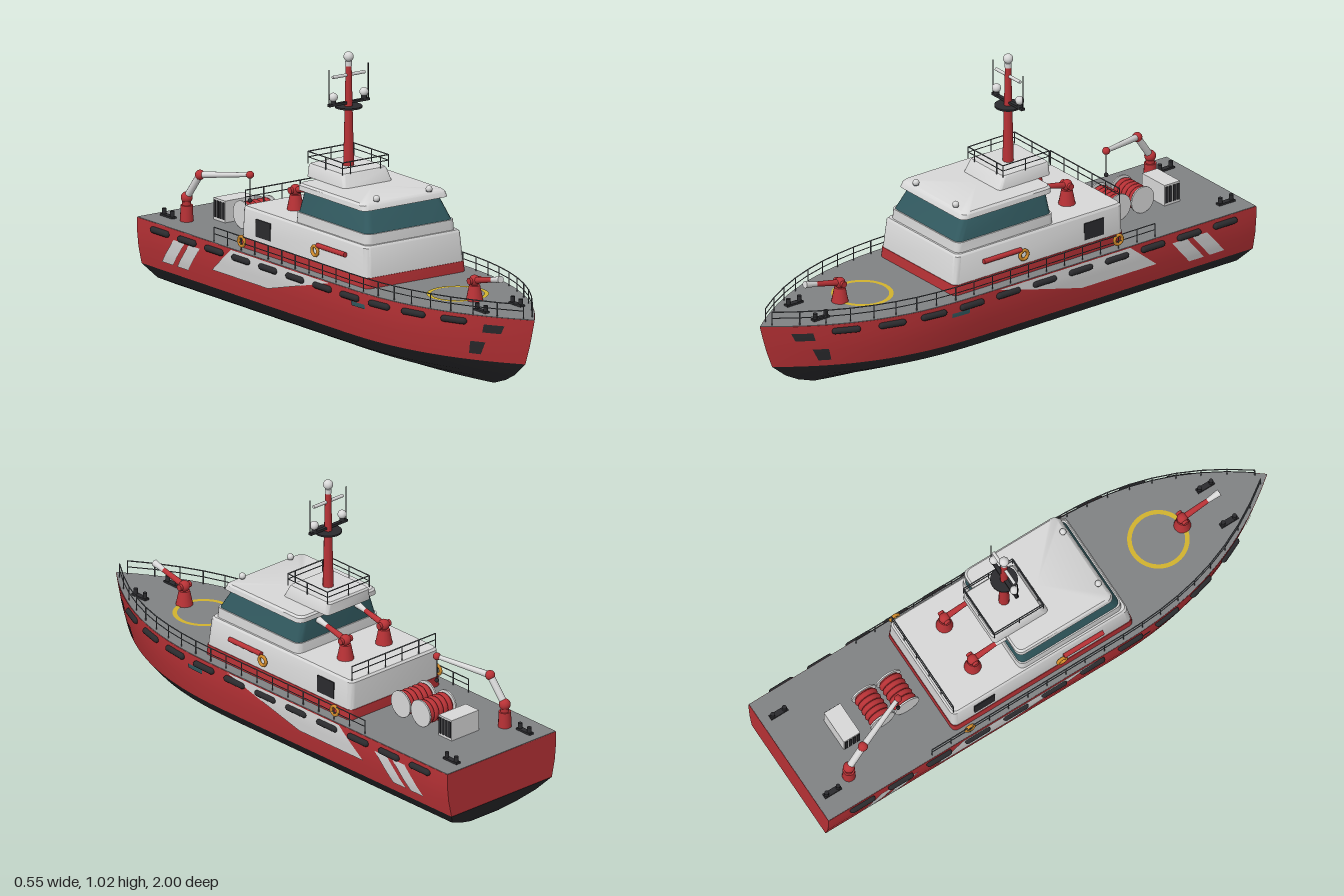
import * as THREE from 'three';
import { toCreasedNormals } from 'three/addons/utils/BufferGeometryUtils.js';

const V = (x, y, z) => new THREE.Vector3(x, y, z);
const mat = (name, color, side = THREE.FrontSide) => {
  const m = new THREE.MeshStandardMaterial({ color, side });
  m.name = name;
  return m;
};

// Hull levels: [y, half beam, stern z, stem z]
const LEVELS = [
  [0, 0.065, -0.91, 0.76], [0.025, 0.135, -0.935, 0.83], [0.055, 0.2, -0.96, 0.885], [0.105, 0.24, -1, 0.945],
  [0.17, 0.254, -1, 0.97], [0.23, 0.26, -1, 0.988], [0.275, 0.26, -1, 1],
];
const taper = (s) => 1 - Math.pow(Math.max(0, (s - 0.6) / 0.4), 2.5);
function levelAt(y) {
  let k = 0;
  while (k < LEVELS.length - 2 && y > LEVELS[k + 1][0]) k++;
  const a = LEVELS[k], b = LEVELS[k + 1], t = (y - a[0]) / (b[0] - a[0]);
  return a.map((v, i) => v + (b[i] - v) * t);
}
function hullX(z, y) {
  const [, w, z0, z1] = levelAt(y);
  return w * taper(Math.min(1, (z - z0) / (z1 - z0)));
}
function hullRing([y, w, z0, z1]) {
  const ring = [], N = 36;
  for (let i = -N; i <= N; i++) {
    const s = 1 - Math.pow(Math.abs(i) / N, 1.4);
    ring.push([Math.sign(i) * w * taper(s), y, z0 + (z1 - z0) * s]);
  }
  return ring;
}

// Closed solid through rings that run counter-clockwise seen from above
function loft(rings, crease = 0.6) {
  const n = rings[0].length, pos = rings.flat(2), idx = [];
  for (let j = 0; j < rings.length - 1; j++)
    for (let i = 0; i < n; i++) {
      const a = j * n + i, b = j * n + (i + 1) % n;
      idx.push(a, b, b + n, a, b + n, a + n);
    }
  [0, rings.length - 1].forEach((j) => {
    const c = pos.length / 3;
    const zs = rings[j].map((p) => p[2]);
    pos.push(0, rings[j][0][1], (Math.min(...zs) + Math.max(...zs)) / 2);
    for (let i = 0; i < n; i++) {
      const a = j * n + i, b = j * n + (i + 1) % n;
      idx.push(...(j ? [c, a, b] : [c, b, a]));
    }
  });
  const g = new THREE.BufferGeometry();
  g.setAttribute('position', new THREE.Float32BufferAttribute(pos, 3));
  g.setIndex(idx);
  return toCreasedNormals(g, crease);
}

// Rounded rectangle ring for cabin tiers
function tierRing([y, hx, zFront, zBack], r) {
  const ring = [];
  for (let q = 0; q < 4; q++)
    for (let k = 0; k <= 4; k++) {
      const a = (q + k / 4) * Math.PI / 2;
      const cx = (q === 0 || q === 3 ? 1 : -1) * (hx - r), cz = q < 2 ? zBack + r : zFront - r;
      ring.push([cx + r * Math.cos(a), y, cz - r * Math.sin(a)]);
    }
  return ring;
}

export function createModel() {
  const root = new THREE.Group();
  root.name = 'fireBoat';
  const red = mat('red paint', 0xb93236), dark = mat('black rubber', 0x2b2b2e), white = mat('white paint', 0xd8d8d8);
  const grey = mat('deck grey', 0x808284), glass = mat('teal glass', 0x31595f), yellow = mat('yellow marking', 0xd2b32e);
  const orange = mat('life ring orange', 0xd08a2a), steel = mat('rail steel', 0x5c6064);

  const add = (name, geo, m, p = [0, 0, 0], parent = root) => {
    const mesh = new THREE.Mesh(geo, m);
    mesh.name = name;
    mesh.position.set(...p);
    parent.add(mesh);
    return mesh;
  };
  const along = (mesh, a, b) => {
    mesh.position.copy(a).add(b).multiplyScalar(0.5);
    mesh.quaternion.setFromUnitVectors(V(0, 1, 0), b.clone().sub(a).normalize());
    return mesh;
  };
  const rod = (name, a, b, r0, m, r1 = r0, seg = 12) =>
    along(add(name, new THREE.CylinderGeometry(r1, r0, a.distanceTo(b), seg), m), a, b);
  const box = (name, w, h, d, m, p) => add(name, new THREE.BoxGeometry(w, h, d), m, p);
  const ball = (name, r, m, p) => add(name, new THREE.SphereGeometry(r, 20, 14), m, p);
  const tier = (name, m, r, ...sections) => add(name, loft(sections.map((s) => tierRing(s, r))), m);

  // Hull and deck
  add('hullBottom', loft(LEVELS.slice(0, 4).map(hullRing)), dark);
  add('hullSides', loft(LEVELS.slice(3).map(hullRing)), red);
  add('deck', loft([[0.275, 0.259, -0.999, 0.998], [0.277, 0.259, -0.999, 0.998]].map(hullRing)), grey);

  // Painted plates that follow the hull; corners [z, y]: low fore, low aft, high aft, high fore
  function patch(name, m, c, nu = 12, nv = 6) {
    for (const side of [1, -1]) {
      const pos = [], idx = [];
      for (let j = 0; j <= nv; j++)
        for (let i = 0; i <= nu; i++) {
          const u = i / nu, v = j / nv;
          const at = (k) => (c[0][k] * (1 - u) + c[1][k] * u) * (1 - v) + (c[3][k] * (1 - u) + c[2][k] * u) * v;
          pos.push(side * (hullX(at(0), at(1)) + 0.003), at(1), at(0));
          if (i < nu && j < nv) {
            const a = j * (nu + 1) + i, b = a + 1, d = a + nu + 1, e = d + 1;
            idx.push(...(side > 0 ? [a, b, e, a, e, d] : [a, e, b, a, d, e]));
          }
        }
      const g = new THREE.BufferGeometry();
      g.setAttribute('position', new THREE.Float32BufferAttribute(pos, 3));
      g.setIndex(idx);
      g.computeVertexNormals();
      add(name, g, m);
    }
  }
  patch('hullSweep', white, [[-0.23, 0.175], [-0.56, 0.175], [-0.44, 0.273], [0.14, 0.273]]);
  patch('hullStripe', white, [[-0.71, 0.14], [-0.775, 0.14], [-0.69, 0.238], [-0.625, 0.238]]);
  patch('hullStripe', white, [[-0.80, 0.14], [-0.865, 0.14], [-0.78, 0.238], [-0.715, 0.238]]);
  patch('bowPlate', dark, [[0.895, 0.215], [0.835, 0.215], [0.845, 0.246], [0.91, 0.246]]);
  patch('bowPlate', dark, [[0.815, 0.13], [0.775, 0.13], [0.79, 0.178], [0.84, 0.178]]);
  patch('sidePlate', glass, [[0.345, 0.22], [0.27, 0.22], [0.27, 0.236], [0.345, 0.236]]);

  // Fenders
  for (const side of [1, -1])
    for (let i = 0; i < 11; i++) {
      const z = 0.74 - i * 0.16, p = (q) => V(side * (hullX(q, 0.25) + 0.003), 0.25, q);
      along(add('fender', new THREE.CapsuleGeometry(0.012, 0.08, 4, 10), dark), p(z - 0.05), p(z + 0.05));
    }

  // Deckhouse, wheelhouse and roof
  tier('deckhouseBase', red, 0.02, [0.276, 0.218, 0.305, -0.45], [0.315, 0.216, 0.302, -0.45]);
  tier('deckhouse', white, 0.02, [0.315, 0.214, 0.3, -0.448], [0.418, 0.209, 0.288, -0.448], [0.426, 0.203, 0.282, -0.442]);
  tier('wheelhouse', white, 0.025, [0.425, 0.196, 0.275, -0.158], [0.463, 0.194, 0.272, -0.156]);
  tier('windowBand', glass, 0.025, [0.463, 0.189, 0.267, -0.152], [0.541, 0.166, 0.225, -0.148]);
  tier('roof', white, 0.025, [0.541, 0.188, 0.245, -0.158], [0.558, 0.185, 0.238, -0.158], [0.565, 0.178, 0.228, -0.152]);
  tier('mastHouse', white, 0.015, [0.565, 0.106, 0.02, -0.21], [0.605, 0.1, 0, -0.21], [0.612, 0.095, -0.005, -0.205]);

  // Railings
  function railing(name, pts, h, closed = false) {
    pts.forEach((p, i) => {
      const top = p.clone().setY(p.y + h), mid = p.clone().setY(p.y + h * 0.55);
      rod(name + 'Post', p, top, 0.002, steel, 0.002, 6);
      const q = pts[i + 1] || (closed ? pts[0] : null);
      if (!q) return;
      rod(name, top, q.clone().setY(q.y + h), 0.0022, steel, 0.0022, 6);
      rod(name, mid, q.clone().setY(q.y + h * 0.55), 0.0018, steel, 0.0018, 6);
    });
  }
  for (const side of [1, -1]) {
    const pts = [];
    for (let i = 0; i <= 19; i++) {
      const z = 0.96 - i * 0.08;
      pts.push(V(side * Math.max(0.008, hullX(z, 0.275) - 0.012), 0.276, z));
    }
    railing('deckRail', pts, 0.052);
  }
  railing('mastHouseRail', [[-0.1, 0], [-0.065, 0], [0.065, 0], [0.1, 0], [0.1, -0.1], [0.1, -0.205],
    [0, -0.205], [-0.1, -0.205], [-0.1, -0.1]].map(([x, z]) => V(x, 0.61, z)), 0.045, true);
  railing('aftHouseRail', [-0.2, -0.12, -0.04, 0.04, 0.12, 0.2].map((x) => V(x, 0.425, -0.44)), 0.055);

  // Mast with aerials
  const mz = -0.1;
  rod('mast', V(0, 0.61, mz), V(0, 0.975, mz), 0.02, red, 0.011, 10);
  rod('mastCollar', V(0, 0.972, mz), V(0, 0.99, mz), 0.012, white);
  ball('mastBall', 0.018, white, [0, 1.006, mz]);
  rod('radarBar', V(-0.07, 0.94, mz), V(0.07, 0.94, mz), 0.006, white);
  rod('mastPlatform', V(0, 0.822, mz), V(0, 0.828, mz), 0.049, dark, 0.049, 24);
  box('mastYard', 0.176, 0.009, 0.014, dark, [0, 0.84, mz]);
  for (const s of [1, -1]) {
    rod('domeStub', V(s * 0.067, 0.842, mz), V(s * 0.067, 0.858, mz), 0.01, dark);
    ball('mastDome', 0.016, white, [s * 0.067, 0.868, mz]);
    rod('whipAerial', V(s * 0.086, 0.836, mz), V(s * 0.086, 0.97, mz), 0.002, dark, 0.002, 6);
    rod('roofLampBase', V(s * 0.115, 0.56, 0.22), V(s * 0.115, 0.574, 0.22), 0.01, steel);
    ball('roofLamp', 0.012, white, [s * 0.115, 0.574, 0.22]);
  }

  // Water cannons
  function cannon(x, y, z, dz, dy) {
    const pivot = V(x, y + 0.072, z), tip = V(x, y + 0.072 + dy, z + dz), mid = pivot.clone().lerp(tip, 0.68);
    rod('cannonBase', V(x, y, z), V(x, y + 0.055, z), 0.031, red, 0.02, 16);
    rod('cannonSwivel', V(x - 0.026, y + 0.072, z), V(x + 0.026, y + 0.072, z), 0.012, red);
    ball('cannonPivot', 0.02, red, pivot.toArray());
    rod('cannonBarrel', pivot, mid, 0.012, red, 0.009);
    rod('cannonNozzle', mid, tip, 0.009, white, 0.013);
  }
  cannon(0, 0.276, 0.645, 0.155, 0.035);
  for (const s of [1, -1]) cannon(s * 0.092, 0.425, -0.29, 0.14, 0.03);

  // Foredeck ring
  const ring = add('deckRing', new THREE.RingGeometry(0.094, 0.11, 48), yellow, [0, 0.279, 0.545]);
  ring.rotation.x = -Math.PI / 2;

  // Mooring bitts, wall fittings and life rings
  for (const s of [1, -1]) {
    for (const [x, z] of [[0.077, 0.79], [0.175, -0.93]]) {
      box('bittBase', 0.02, 0.008, 0.07, dark, [s * x, 0.28, z]);
      for (const d of [-0.024, 0.024]) rod('bittPost', V(s * x, 0.276, z + d), V(s * x, 0.304, z + d), 0.008, dark);
    }
    rod('hoseTube', V(s * 0.218, 0.376, 0.01), V(s * 0.218, 0.376, 0.175), 0.009, red);
    box('wallLouvre', 0.008, 0.064, 0.086, dark, [s * 0.21, 0.362, -0.318]);
    for (const [x, y, z] of [[0.222, 0.355, 0], [0.246, 0.31, -0.4]])
      add('lifeRing', new THREE.TorusGeometry(0.017, 0.006, 10, 24), orange, [s * x, y, z]).rotation.y = Math.PI / 2;
  }

  // Hose reels
  for (const z of [-0.545, -0.648]) {
    rod('reelDrum', V(-0.06, 0.327, z), V(0.06, 0.327, z), 0.037, red, 0.037, 24);
    for (let i = 0; i < 5; i++)
      add('hoseCoil', new THREE.TorusGeometry(0.035, 0.011, 8, 24), red, [-0.044 + i * 0.022, 0.327, z]).rotation.y = Math.PI / 2;
    for (const s of [1, -1]) rod('reelFlange', V(s * 0.058, 0.327, z), V(s * 0.064, 0.327, z), 0.05, white, 0.05, 28);
  }

  // Generator box with louvres
  box('generatorBox', 0.13, 0.08, 0.068, white, [0, 0.316, -0.777]);
  for (const s of [1, -1])
    for (let i = 0; i < 4; i++) box('generatorLouvre', 0.006, 0.062, 0.011, dark, [s * 0.065, 0.318, -0.752 - i * 0.0165]);

  // Deck crane
  const foot = V(-0.155, 0.276, -0.848), shoulder = V(-0.155, 0.362, -0.848);
  const elbow = V(-0.145, 0.456, -0.783), tip = V(-0.07, 0.485, -0.588);
  rod('craneColumn', foot, V(-0.155, 0.335, -0.848), 0.024, red, 0.022, 16);
  rod('craneNeck', V(-0.155, 0.33, -0.848), shoulder, 0.016, red);
  rod('craneLowerArm', shoulder, elbow, 0.013, white);
  rod('craneUpperArm', elbow, tip, 0.012, white, 0.008);
  for (const [p, r] of [[shoulder, 0.021], [elbow, 0.018], [tip, 0.014]]) ball('craneJoint', r, red, p.toArray());
  rod('craneCable', tip, V(-0.07, 0.395, -0.588), 0.002, dark, 0.002, 6);
  ball('craneHook', 0.008, dark, [-0.07, 0.392, -0.588]);

  return root;
}
